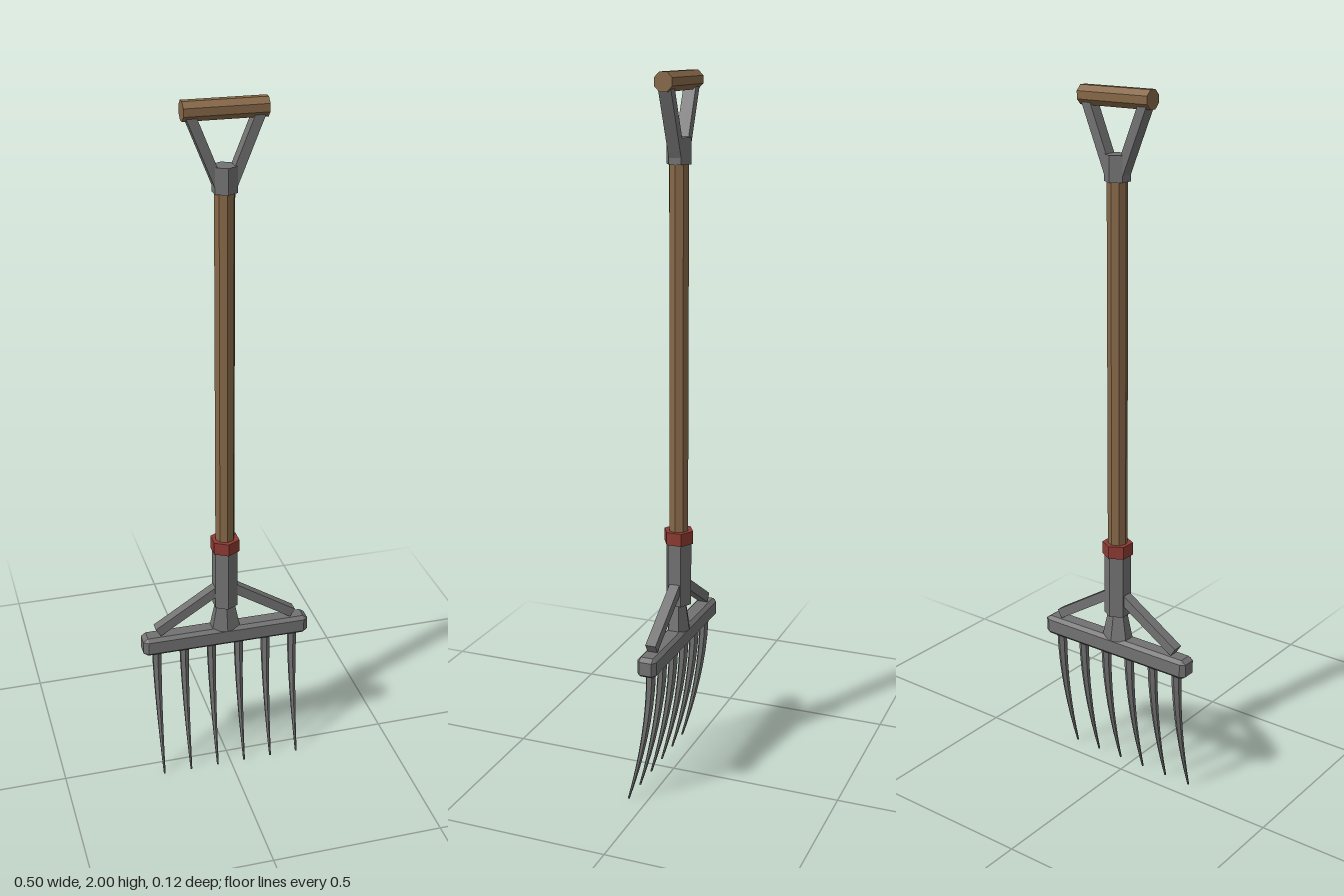
import * as THREE from 'three';
import { ConvexGeometry } from 'three/addons/geometries/ConvexGeometry.js';

const makeMaterial = (name, color) => {
  const m = new THREE.MeshStandardMaterial({ color });
  m.name = name;
  return m;
};

// Faceted normals
function facet(geometry) {
  const g = geometry.index ? geometry.toNonIndexed() : geometry;
  g.computeVertexNormals();
  return g;
}

// Box with every edge chamfered by b, and its ends along x by bx
function chamferBox(w, h, d, b, bx) {
  const points = [];
  for (const sx of [-1, 1]) for (const sy of [-1, 1]) for (const sz of [-1, 1]) {
    const x = sx * w / 2, y = sy * h / 2, z = sz * d / 2;
    points.push(
      new THREE.Vector3(x, y - sy * b, z - sz * b),
      new THREE.Vector3(x - sx * bx, y, z - sz * b),
      new THREE.Vector3(x - sx * bx, y - sy * b, z));
  }
  return new ConvexGeometry(points);
}

export function createModel() {
  const metal = makeMaterial('grey steel', 0x727272);
  const wood = makeMaterial('brown wood', 0x866848);
  const red = makeMaterial('red collar', 0x8c3a32);

  const root = new THREE.Group();
  root.name = 'diggingFork';
  const fork = new THREE.Group();
  fork.name = 'forkBody';
  fork.position.z = -0.015;
  root.add(fork);

  function add(name, geometry, material, x = 0, y = 0) {
    const mesh = new THREE.Mesh(facet(geometry), material);
    mesh.name = name;
    mesh.position.set(x, y, 0);
    fork.add(mesh);
    return mesh;
  }
  // Upright prism spanning y0 to y1
  const post = (name, r1, r0, y0, y1, sides, material) =>
    add(name, new THREE.CylinderGeometry(r1, r0, y1 - y0, sides), material, 0, (y0 + y1) / 2);
  // Flat bar between two points in the xy plane
  function bar(name, x0, y0, x1, y1, thick, depth) {
    const length = Math.hypot(x1 - x0, y1 - y0);
    const mesh = add(name, new THREE.BoxGeometry(thick, length, depth), metal, (x0 + x1) / 2, (y0 + y1) / 2);
    mesh.rotation.z = -Math.atan2(x1 - x0, y1 - y0);
  }

  // Shaft and its fittings
  post('shaft', 0.028, 0.028, 0.7, 1.8, 8, wood);
  post('topSocket', 0.035, 0.035, 1.763, 1.832, 6, metal);
  post('collar', 0.043, 0.043, 0.713, 0.75, 6, red);
  post('ferrule', 0.038, 0.038, 0.53, 0.715, 6, metal);
  post('neck', 0.03, 0.049, 0.45, 0.535, 6, metal).scale.z = 0.68;

  // D handle grip, lying along x with flats up and down
  const gripGeometry = new THREE.CylinderGeometry(0.027, 0.027, 0.222, 8);
  gripGeometry.rotateY(Math.PI / 8).rotateZ(Math.PI / 2);
  add('grip', gripGeometry, wood, 0, 1.975);

  // Cross bar
  add('crossBar', chamferBox(0.5, 0.058, 0.056, 0.01, 0.014), metal, 0, 0.428);

  // Handle arms and braces, mirrored
  for (const s of [-1, 1]) {
    const side = s > 0 ? 'left' : 'right';
    bar(side + 'HandleArm', s * 0.018, 1.785, s * 0.092, 1.966, 0.026, 0.035);
    bar(side + 'Brace', s * 0.015, 0.59, s * 0.204, 0.47, 0.028, 0.03);
  }

  // Tines: tapered prisms curving forward toward the tip
  for (let i = 0; i < 6; i++) {
    const geometry = new THREE.CylinderGeometry(0.0145, 0.0145, 0.4, 6, 8);
    const p = geometry.attributes.position;
    for (let k = 0; k < p.count; k++) {
      const t = THREE.MathUtils.clamp(0.5 - p.getY(k) / 0.4, 0, 1);
      const taper = 1 - 0.8 * Math.pow(t, 1.2);
      p.setX(k, p.getX(k) * taper);
      p.setZ(k, p.getZ(k) * taper + 0.07 * Math.pow(t, 1.75));
    }
    add('tine' + (i + 1), geometry, metal, (i - 2.5) * 0.083, 0.2);
  }

  return root;
}
